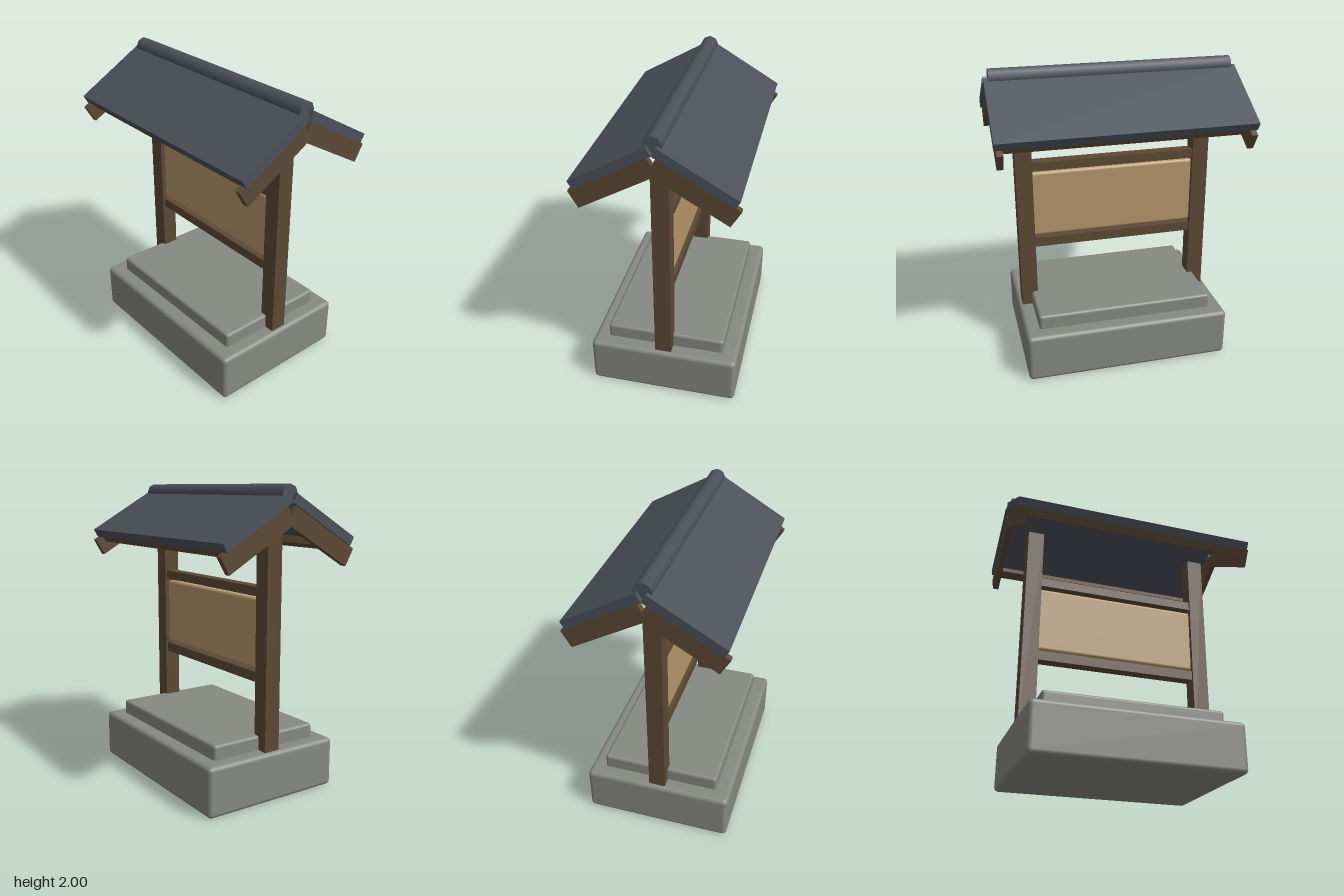
import * as THREE from 'three';
import { RoundedBoxGeometry } from 'three/addons/geometries/RoundedBoxGeometry.js';

const material = (name, color) => {
  const m = new THREE.MeshStandardMaterial({ color });
  m.name = name;
  return m;
};

export function createModel() {
  const stone = material('stone', 0x868882);
  const wood = material('dark wood', 0x5c4834);
  const board = material('pale board', 0xb4956a);
  const slate = material('slate roof', 0x4b5059);
  const model = new THREE.Group();
  model.name = 'noticeBoard';

  const add = (parent, name, geometry, mat, x = 0, y = 0, z = 0) => {
    const mesh = new THREE.Mesh(geometry, mat);
    mesh.name = name;
    mesh.position.set(x, y, z);
    parent.add(mesh);
    return mesh;
  };
  const box = (w, h, d) => new THREE.BoxGeometry(w, h, d);

  // Stone footing in two tiers
  add(model, 'base', new RoundedBoxGeometry(1.38, 0.33, 0.99, 4, 0.03), stone, 0, 0.165, 0);
  add(model, 'step', new RoundedBoxGeometry(1.19, 0.125, 0.79, 4, 0.02), stone, 0, 0.3625, 0);

  // Posts, cross rails and the board between them
  for (const s of [1, -1]) {
    add(model, s > 0 ? 'leftPost' : 'rightPost', box(0.11, 1.41, 0.11), wood, s * 0.607, 1.015, 0);
  }
  add(model, 'upperRail', box(1.14, 0.06, 0.08), wood, 0, 1.344, 0);
  add(model, 'lowerRail', box(1.14, 0.065, 0.08), wood, 0, 0.797, 0);
  add(model, 'boardPanel', new RoundedBoxGeometry(1.16, 0.46, 0.05, 4, 0.022), board, 0, 1.07, 0);

  // Each roof half is built flat and tilted 30 degrees: local origin is the
  // ridge line under the slab, local z runs down the slope.
  for (const s of [1, -1]) {
    const half = new THREE.Group();
    half.name = s > 0 ? 'frontRoof' : 'backRoof';
    half.position.y = 1.893;
    half.rotation.order = 'YXZ';
    half.rotation.set(Math.PI / 6, s > 0 ? 0 : Math.PI, 0);
    add(half, 'roofSlab', box(1.645, 0.06, 0.537), slate, 0, 0.03, 0.2685);
    add(half, 'eaveRail', box(1.56, 0.05, 0.06), wood, 0, -0.025, 0.49);
    for (const x of [-0.79, 0.79]) {
      add(half, 'rafter', box(0.04, 0.122, 0.545), wood, x, -0.06, 0.308);
    }
    model.add(half);
  }

  // Ridge cap
  const ridge = new THREE.CylinderGeometry(0.058, 0.058, 1.585, 8);
  ridge.rotateZ(Math.PI / 2);
  add(model, 'ridgeCap', ridge, slate, 0, 1.942, 0);

  return model;
}
